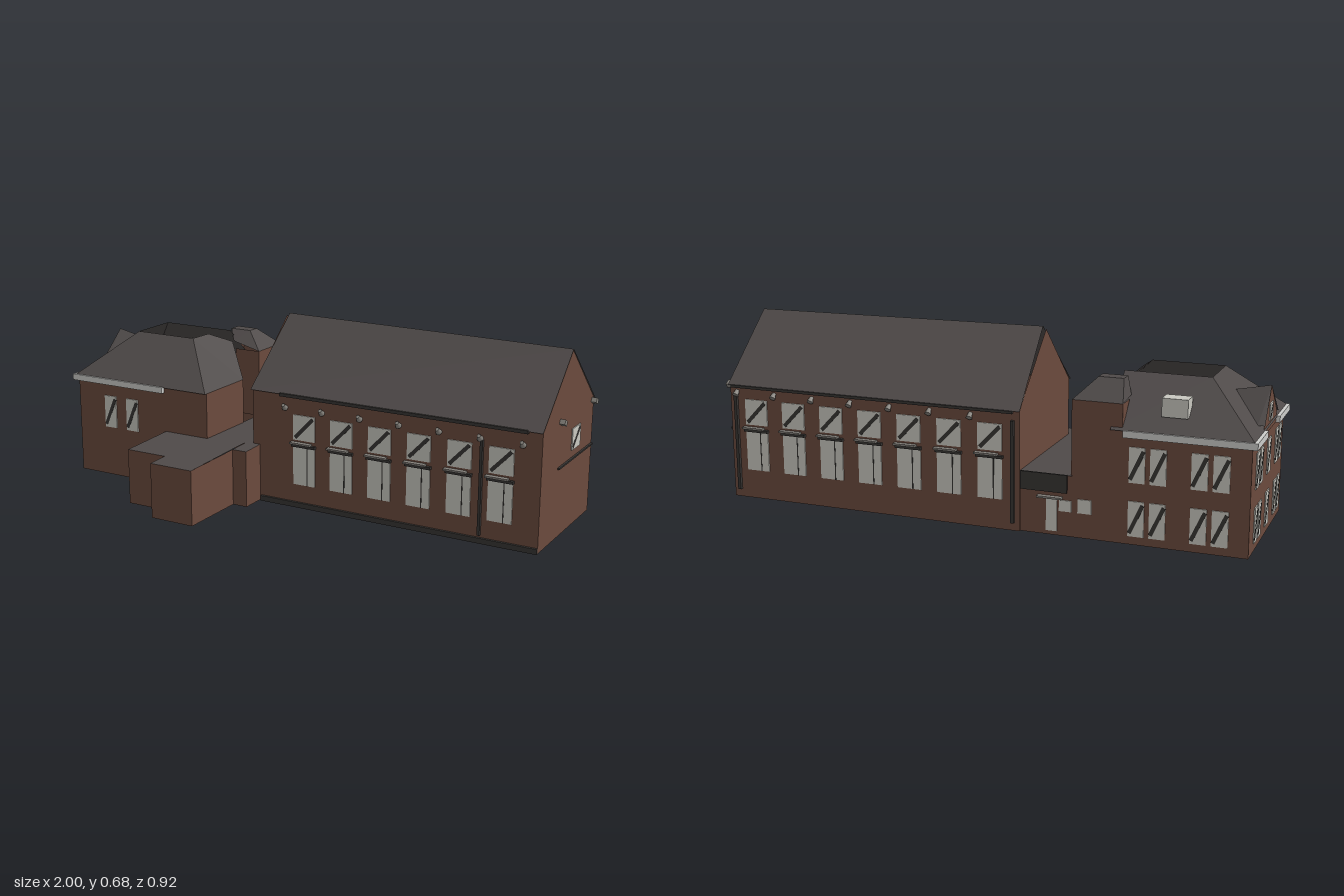
import * as THREE from 'three';

const mat = (name, color) => {
  const m = new THREE.MeshStandardMaterial({ color, side: THREE.DoubleSide });
  m.name = name;
  return m;
};

export function createModel() {
  const brick = mat('brick', 0x6b4a3d), slate = mat('slate', 0x4f4a49), pale = mat('paleGlass', 0xc9c8c0);
  const dark = mat('darkTrim', 0x373533), white = mat('cornice', 0xcdcdca), grey = mat('lampGrey', 0x85827c);
  const model = new THREE.Group();
  model.name = 'schoolBuilding';

  // flat polygons, each fanned into triangles
  function faces(name, material, polys, parent = model) {
    const p = [];
    for (const f of polys)
      for (let i = 1; i < f.length - 1; i++) p.push(...f[0], ...f[i], ...f[i + 1]);
    const g = new THREE.BufferGeometry();
    g.setAttribute('position', new THREE.Float32BufferAttribute(p, 3));
    g.computeVertexNormals();
    const m = new THREE.Mesh(g, material);
    m.name = name;
    parent.add(m);
    return m;
  }
  // vertical walls along a ground path of [x, z]
  function walls(name, path, y0, y1) {
    const polys = [];
    for (let i = 0; i < path.length - 1; i++) {
      const [a, b] = path[i], [c, d] = path[i + 1];
      polys.push([[a, y0, b], [c, y0, d], [c, y1, d], [a, y1, b]]);
    }
    return faces(name, brick, polys);
  }
  function box(name, material, x0, x1, y0, y1, z0, z1, parent = model) {
    const m = new THREE.Mesh(new THREE.BoxGeometry(x1 - x0, y1 - y0, z1 - z0), material);
    m.position.set((x0 + x1) / 2, (y0 + y1) / 2, (z0 + z1) / 2);
    m.name = name;
    parent.add(m);
    return m;
  }
  // pane with a diagonal dark bar, in local x/y
  function pane(parent, x, y0, y1, w, bar = true) {
    box('glass', pale, x - w / 2, x + w / 2, y0, y1, -0.004, 0.004, parent);
    if (!bar) return;
    const h = y1 - y0, t = 0.014;
    const m = new THREE.Mesh(new THREE.BoxGeometry(Math.hypot(w, h) - 0.025, t, 0.0096), dark);
    m.rotation.z = Math.atan2(h, w);
    m.position.set(x, (y0 + y1) / 2, 0);
    m.name = 'diagonalBar';
    parent.add(m);
  }
  function opening(name, x, z, turn) {
    const g = new THREE.Group();
    g.name = name;
    g.position.set(x, 0, z);
    g.rotation.y = turn;
    model.add(g);
    return g;
  }
  function tallWindow(x, z, turn, y0) {
    const g = opening('hallWindow', x, z, turn);
    pane(g, 0, y0, y0 + 0.15, 0.092, false);
    pane(g, 0, y0 + 0.175, y0 + 0.272, 0.092);
    box('transom', dark, -0.05, 0.05, y0 + 0.15, y0 + 0.16, -0.004, 0.014, g);
    box('transomShelf', grey, -0.055, 0.03, y0 + 0.16, y0 + 0.167, -0.004, 0.02, g);
    box('mullion', dark, 0.012, 0.016, y0, y0 + 0.15, -0.0048, 0.0048, g);
  }
  function pairWindow(x, z, turn, y0, y1, w, gap) {
    const g = opening('pairWindow', x, z, turn);
    for (const s of [-1, 1]) pane(g, s * (w + gap) / 2, y0, y1, w);
  }
  function lamp(x, y, z, axis) {
    const m = new THREE.Mesh(new THREE.CylinderGeometry(0.007, 0.012, 0.022, 8), grey);
    m.rotation[axis] = 0.8;
    m.position.set(x, y, z);
    m.name = 'wallLamp';
    model.add(m);
  }

  // main hall
  const L = -0.175, R = 0.98, F = 0.08, B = -0.44, RZ = -0.175;
  walls('hallLongWalls', [[L, F], [R, F]], 0, 0.44);
  walls('hallBackWall', [[L, B], [R, B]], 0, 0.44);
  for (const x of [L, R])
    faces('hallGable', brick, [[[x, 0, F], [x, 0, B], [x, 0.44, B], [x, 0.675, RZ], [x, 0.44, F]]]);
  const a = L - 0.003, b = R + 0.004;
  faces('hallRoof', slate, [
    [[a, 0.436, F + 0.012], [b, 0.436, F + 0.012], [b, 0.675, RZ], [a + 0.015, 0.684, RZ]],
    [[b, 0.434, B - 0.01], [a, 0.434, B - 0.01], [a + 0.015, 0.684, RZ], [b, 0.675, RZ]]]);
  box('frontGutter', dark, -0.05, 0.93, 0.428, 0.44, F, F + 0.015);
  box('backGutter', dark, -0.15, 0.97, 0.425, 0.435, B - 0.015, B);
  box('frontPlinth', dark, -0.14, R, 0, 0.02, F, F + 0.01);
  box('frontDownpipe', dark, 0.757, 0.767, 0.03, 0.38, F, F + 0.012);
  for (const x of [0.955, -0.15]) box('backDownpipe', dark, x - 0.006, x + 0.006, 0.03, 0.4, B - 0.012, B);
  for (let i = 0; i < 6; i++) tallWindow(0.05 + i * 0.157, F, 0, 0.09);
  for (let i = 0; i < 7; i++) tallWindow(0.872 - i * 0.156, B, Math.PI, 0.11);
  for (let i = 0; i < 7; i++) {
    lamp(-0.03 + i * 0.157, 0.39, F + 0.012, 'x');
    lamp(0.95 - i * 0.157, 0.405, B - 0.008, 'x');
  }

  // right gable details
  pane(opening('gableWindow', R, -0.257, Math.PI / 2), 0, 0.295, 0.376, 0.086);
  box('gableCable', dark, R, R + 0.008, 0.261, 0.267, -0.435, -0.08);
  for (const z of [-0.09, -0.425]) {
    const m = box('gableLamp', grey, R, 1.0, 0.422, 0.44, z - 0.012, z + 0.012);
    m.rotation.x = -0.5;
  }

  // low flat-roofed link and front annex, open underneath
  const top = z => z > 0.12 ? 0.22 - (z - 0.12) * 0.025 : 0.222;
  const annex = [[-0.555, 0.12], [-0.555, 0.365], [-0.385, 0.365], [-0.385, 0.455], [-0.205, 0.455],
    [-0.205, 0.18], [-0.145, 0.18], [-0.145, F]];
  walls('annexWalls', annex, 0, 0.211);
  const slab = (x0, x1, z0, z1) => [[x0, top(z0), z0], [x0, top(z1), z1], [x1, top(z1), z1], [x1, top(z0), z0]];
  faces('annexRoof', slate, [slab(-0.555, -0.385, 0.12, 0.365), slab(-0.385, -0.205, 0.12, 0.455),
    slab(-0.205, -0.145, F, 0.18), slab(-0.365, -0.205, B, 0.12), slab(-0.205, L, B, F)]);
  for (let i = 0; i < annex.length - 1; i++) {
    const [p, q] = annex[i], [r, s] = annex[i + 1];
    faces('annexFascia', brick, [[[p, 0.21, q], [r, 0.21, s], [r, top(s), s], [p, top(q), q]]]);
  }
  walls('linkBackWall', [[L, -0.43], [-0.365, -0.43]], 0, 0.222);
  box('blankSignBoard', dark, -0.35, -0.18, 0.16, 0.225, -0.448, -0.44);
  const entry = opening('entrance', -0.3, -0.43, Math.PI);
  pane(entry, -0.01, 0.015, 0.13, 0.04, false);
  pane(entry, 0.04, 0.09, 0.13, 0.045, false);
  pane(entry, 0.11, 0.09, 0.14, 0.05, false);
  box('doorCanopy', grey, -0.33, -0.24, 0.135, 0.142, -0.45, -0.43);

  // left house walls
  const hl = -0.98, hr = -0.36, hf = 0.12, hb = -0.43;
  walls('houseWalls', [[hr, hf], [hl, hf], [hl, hb], [hr, hb]], 0, 0.4);
  walls('houseRightWall', [[hr, hf], [hr, -0.14]], 0.22, 0.4);

  // hipped roof, open over the court
  const e = 0.4, t = 0.565;
  faces('houseRoof', slate, [
    [[-0.99, e, 0.13], [hr, e, 0.13], [-0.535, t, -0.05], [-0.8, t, -0.05]],
    [[-0.99, e, -0.44], [-0.99, e, 0.13], [-0.8, t, -0.05], [-0.8, t, -0.25]],
    [[-0.5, e, -0.44], [-0.99, e, -0.44], [-0.8, t, -0.25], [-0.49, t, -0.25]],
    [[-0.535, t, -0.05], [hr, e, 0.13], [hr, e, -0.14], [-0.48, 0.52, -0.25], [-0.53, t, -0.15]]]);

  // pale cornice on front, left and back
  box('frontCornice', white, -1, -0.56, 0.378, 0.402, hf, hf + 0.015);
  box('leftCorniceFront', white, -1, hl, 0.378, 0.402, -0.06, hf + 0.015);
  box('leftCorniceBack', white, -1, hl, 0.378, 0.402, hb - 0.015, -0.27);
  box('backCornice', white, -1, -0.545, 0.378, 0.402, hb - 0.015, hb);

  // stair tower at the back corner
  const tl = -0.54, tz = -0.26;
  walls('towerWalls', [[tl, hb], [hr, hb], [hr, tz], [-0.47, tz]], 0.22, 0.49);
  faces('towerSideWall', brick, [[[tl, e, hb], [tl, 0.49, hb], [tl, 0.49, -0.35]]]);
  faces('towerRoof', slate, [
    [[hr, 0.49, hb], [tl, 0.49, hb], [-0.52, 0.56, -0.355], [-0.43, 0.56, -0.355]],
    [[-0.43, 0.56, -0.355], [-0.52, 0.56, -0.355], [-0.52, 0.56, -0.305], [-0.43, 0.56, -0.305]],
    [[hr, 0.49, tz], [hr, 0.49, hb], [-0.43, 0.56, -0.355], [-0.43, 0.56, -0.305]],
    [[-0.48, 0.52, tz], [hr, 0.49, tz], [-0.43, 0.56, -0.305], [-0.52, 0.56, -0.305]],
    [[tl, 0.49, hb], [tl, 0.5, -0.33], [-0.52, 0.56, -0.305], [-0.52, 0.56, -0.355]]]);

  // gabled dormer on the left side
  const dx = -0.985, dz = -0.165, peak = [dx, 0.535, dz], back = [-0.86, 0.51, dz];
  faces('dormerGable', brick, [[[dx, 0.38, -0.28], [dx, 0.38, -0.05], [dx, 0.42, -0.05], peak, [dx, 0.42, -0.28]]]);
  faces('dormerRoof', slate, [-0.285, -0.045].map(z => [peak, [dx - 0.005, 0.42, z], [-0.965, 0.42, z], back]));
  pane(opening('dormerWindow', dx, dz, -Math.PI / 2), 0, 0.415, 0.475, 0.05);

  // skylight box on the back slope
  box('skylight', pale, -0.755, -0.665, 0.45, 0.515, -0.4, -0.34);

  // house windows
  pairWindow(-0.77, hf, 0, 0.2, 0.33, 0.056, 0.05);
  for (const [y0, y1] of [[0.03, 0.155], [0.22, 0.345]]) {
    for (const x of [-0.63, -0.845]) pairWindow(x, hb, Math.PI, y0, y1, 0.056, 0.018);
    for (const z of [-0.305, 0.025]) pairWindow(hl, z, -Math.PI / 2, y0, y1, 0.046, 0.016);
    pane(opening('middleWindow', hl, -0.145, -Math.PI / 2), 0, y0, y1, 0.055);
  }
  return model;
}
